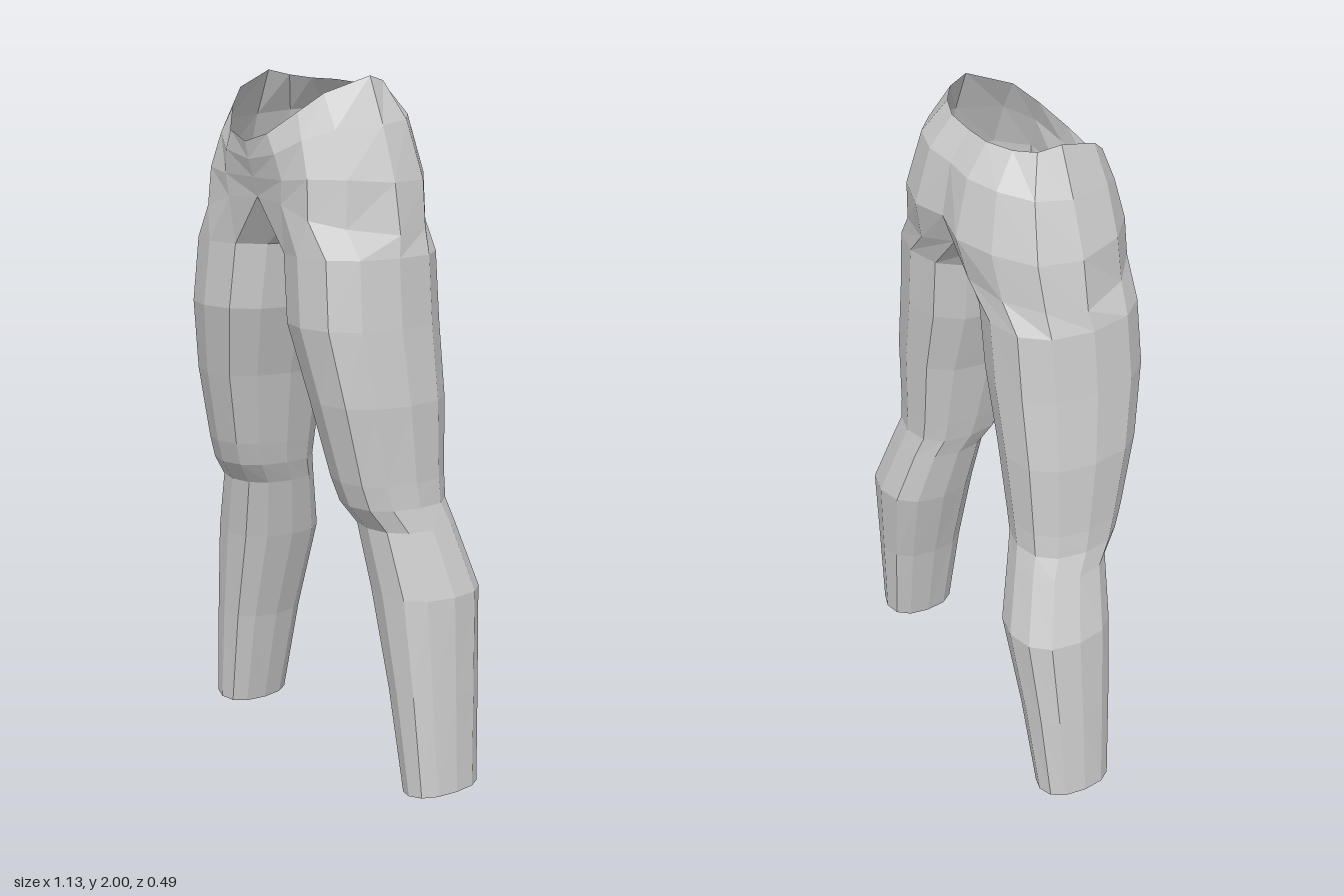
import * as THREE from 'three';

const fabric = new THREE.MeshStandardMaterial({ color: 0xcccccc, flatShading: true, side: THREE.DoubleSide });
fabric.name = 'grey fabric';

// Half arcs of the hips on the left side, from front centre round the hip to back centre
const waistRim = [[0, 1.82, .245], [.09, 1.845, .233], [.16, 1.905, .18], [.205, 1.955, .125], [.245, 2, 0],
  [.225, 1.985, -.06], [.17, 1.977, -.1], [.09, 1.975, -.13], [0, 1.97, -.13]];
const belly = [[0, 1.77, .235], [.12, 1.79, .23], [.2, 1.83, .195], [.265, 1.86, .13], [.305, 1.87, 0],
  [.28, 1.88, -.1], [.2, 1.89, -.165], [.1, 1.89, -.195], [0, 1.89, -.188]];
const seat = [[0, 1.72, .22], [.14, 1.72, .22], [.24, 1.73, .205], [.32, 1.73, .13], [.36, 1.72, 0],
  [.33, 1.72, -.12], [.23, 1.73, -.2], [.11, 1.73, -.237], [0, 1.74, -.215]];
// Top of the leg, closed by three points along the crotch seam
const legTop = [[0, 1.665, .205], [.13, 1.655, .215], [.25, 1.62, .21], [.33, 1.6, .14], [.387, 1.58, 0],
  [.355, 1.59, -.11], [.26, 1.6, -.185], [.13, 1.61, -.212], [0, 1.65, -.18],
  [0, 1.6, -.1], [0, 1.57, 0], [0, 1.575, .12]];

// Leg sections: height, inner x, outer x, back z, front z
const legSections = [
  [1.52, .042, .4, -.2, .225],
  [1.33, .068, .42, -.198, .232],
  [1.12, .135, .443, -.192, .195],
  [.9, .182, .447, -.18, .145],
  [.83, .198, .452, -.178, .122],
  [.765, .22, .47, -.195, .075],
  [.58, .262, .53, -.243, .06],
  [.3, .345, .548, -.217, .045],
  [.01, .41, .563, -.195, .03],
];

const soften = (v) => Math.sign(v) * Math.pow(Math.abs(v), .85);

// Twelve-sided section, numbered in step with legTop
function legRing([y, x0, x1, z0, z1]) {
  const ring = [];
  for (let i = 0; i < 12; i++) {
    const a = (120 - i * 30) * Math.PI / 180;
    const c = soften(Math.cos(a)), s = soften(Math.sin(a));
    const tilt = y < .1 ? .008 * (c - s * .5) : 0;
    ring.push([(x0 + x1) / 2 + c * (x1 - x0) / 2, y + tilt, (z0 + z1) / 2 + s * (z1 - z0) / 2]);
  }
  return ring;
}

// Skin between successive rings; side = -1 mirrors it
function loft(name, rings, closed, side) {
  const pos = [];
  const tri = (a, b, c) => (side > 0 ? [a, b, c] : [a, c, b]).forEach(([x, y, z]) => pos.push(x * side, y, z));
  for (let r = 0; r + 1 < rings.length; r++) {
    const top = rings[r], low = rings[r + 1];
    const count = closed ? top.length : top.length - 1;
    for (let i = 0; i < count; i++) {
      const j = (i + 1) % top.length;
      tri(top[i], low[i], top[j]);
      tri(top[j], low[i], low[j]);
    }
  }
  const geo = new THREE.BufferGeometry();
  geo.setAttribute('position', new THREE.Float32BufferAttribute(pos, 3));
  geo.computeVertexNormals();
  const mesh = new THREE.Mesh(geo, fabric);
  mesh.name = name;
  return mesh;
}

export function createModel() {
  const trousers = new THREE.Group();
  trousers.name = 'trousers';
  const legRings = [legTop, ...legSections.map(legRing)];
  for (const [label, side] of [['left', 1], ['right', -1]]) {
    trousers.add(loft(label + 'Hip', [waistRim, belly, seat, legTop.slice(0, 9)], false, side));
    trousers.add(loft(label + 'Leg', legRings, true, side));
  }
  return trousers;
}
